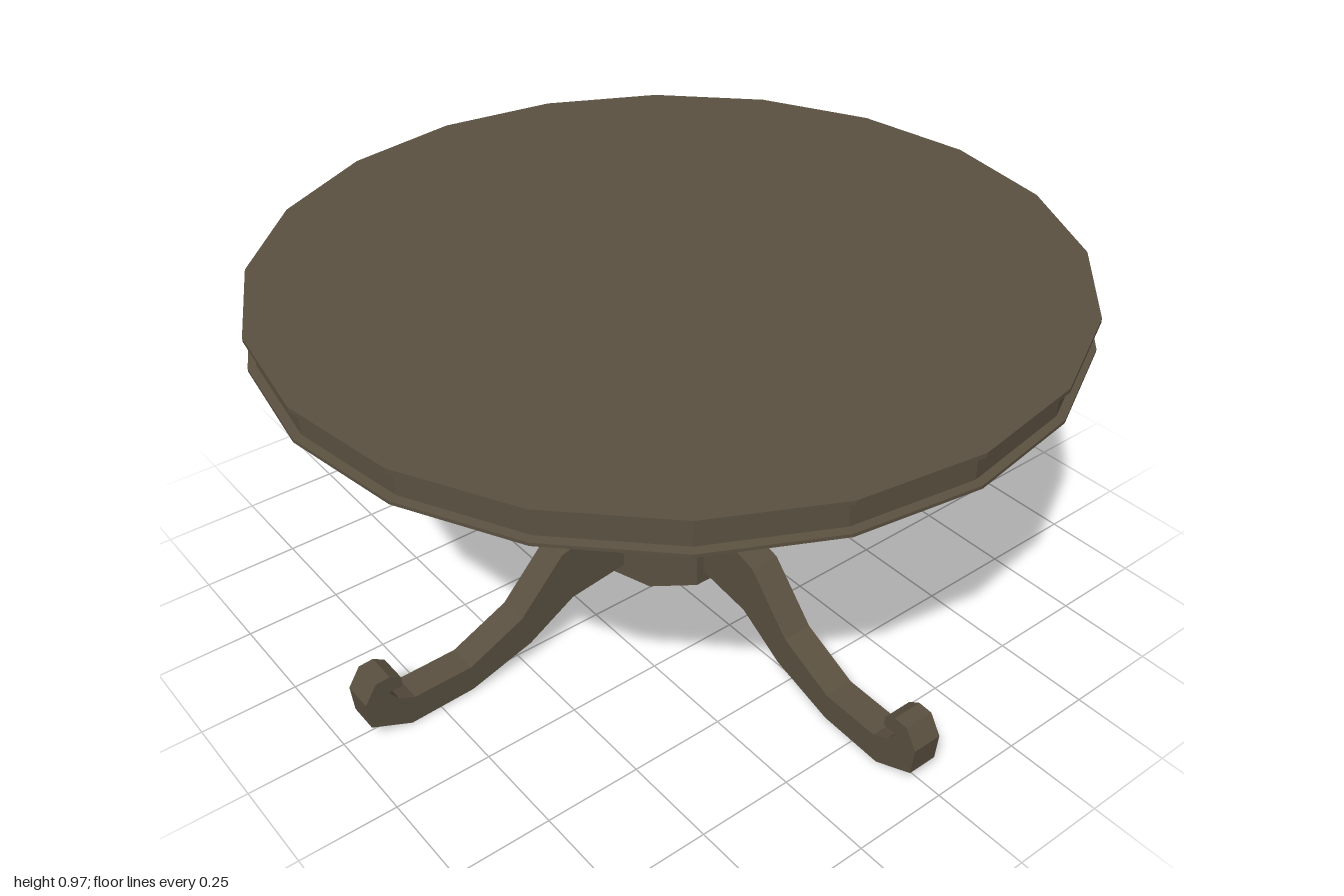
import * as THREE from 'three';

const wood = new THREE.MeshStandardMaterial({ color: 0x5a5040, flatShading: true });
wood.name = 'darkWood';

// Faceted turned part, profile given from bottom to top as [radius, height]
function turned(name, profile, sides) {
  const points = profile.map(([r, y]) => new THREE.Vector2(r, y));
  const mesh = new THREE.Mesh(new THREE.LatheGeometry(points, sides), wood);
  mesh.name = name;
  return mesh;
}

// Side outline of a scroll-footed leg: along the top, round the curl, back underneath
const LEG_OUTLINE = [
  [0.1, 0.35], [0.187, 0.347], [0.374, 0.294], [0.503, 0.155], [0.658, 0.083],
  [0.818, 0.08], [0.86, 0.1], [0.885, 0.135], [0.847, 0.135], [0.847, 0.16],
  [0.877, 0.18], [0.915, 0.178], [0.947, 0.128], [0.94, 0.053], [0.834, 0.003],
  [0.658, 0.01], [0.482, 0.064], [0.348, 0.144], [0.187, 0.166], [0.1, 0.166],
];
const LEG_WIDTH = 0.08;

export function createModel() {
  const table = new THREE.Group();
  table.name = 'pedestalTable';

  // Round top with a lip above and below a recessed rim
  table.add(turned('tableTop', [
    [0, 0.89], [1, 0.89], [1, 0.898], [0.98, 0.901],
    [0.98, 0.963], [1, 0.967], [1, 0.978], [0, 0.978],
  ], 20));

  // Turned column
  table.add(turned('column', [
    [0.197, 0.354], [0.1, 0.42], [0.1, 0.45], [0.175, 0.508], [0.118, 0.6],
    [0.107, 0.69], [0.175, 0.782], [0.07, 0.79], [0.07, 0.8], [0.093, 0.86], [0.075, 0.892],
  ], 10));

  // Hub that holds the legs
  table.add(turned('hub', [[0, 0.13], [0.197, 0.13], [0.197, 0.354]], 10));

  // Four legs
  const shape = new THREE.Shape(LEG_OUTLINE.map(([x, y]) => new THREE.Vector2(x, y)));
  const legGeometry = new THREE.ExtrudeGeometry(shape, { depth: LEG_WIDTH, bevelEnabled: false });
  legGeometry.translate(0, 0, -LEG_WIDTH / 2);
  for (let i = 0; i < 4; i++) {
    const leg = new THREE.Mesh(legGeometry, wood);
    leg.name = 'leg' + (i + 1);
    leg.rotation.y = i * Math.PI / 2;
    table.add(leg);
  }
  return table;
}
